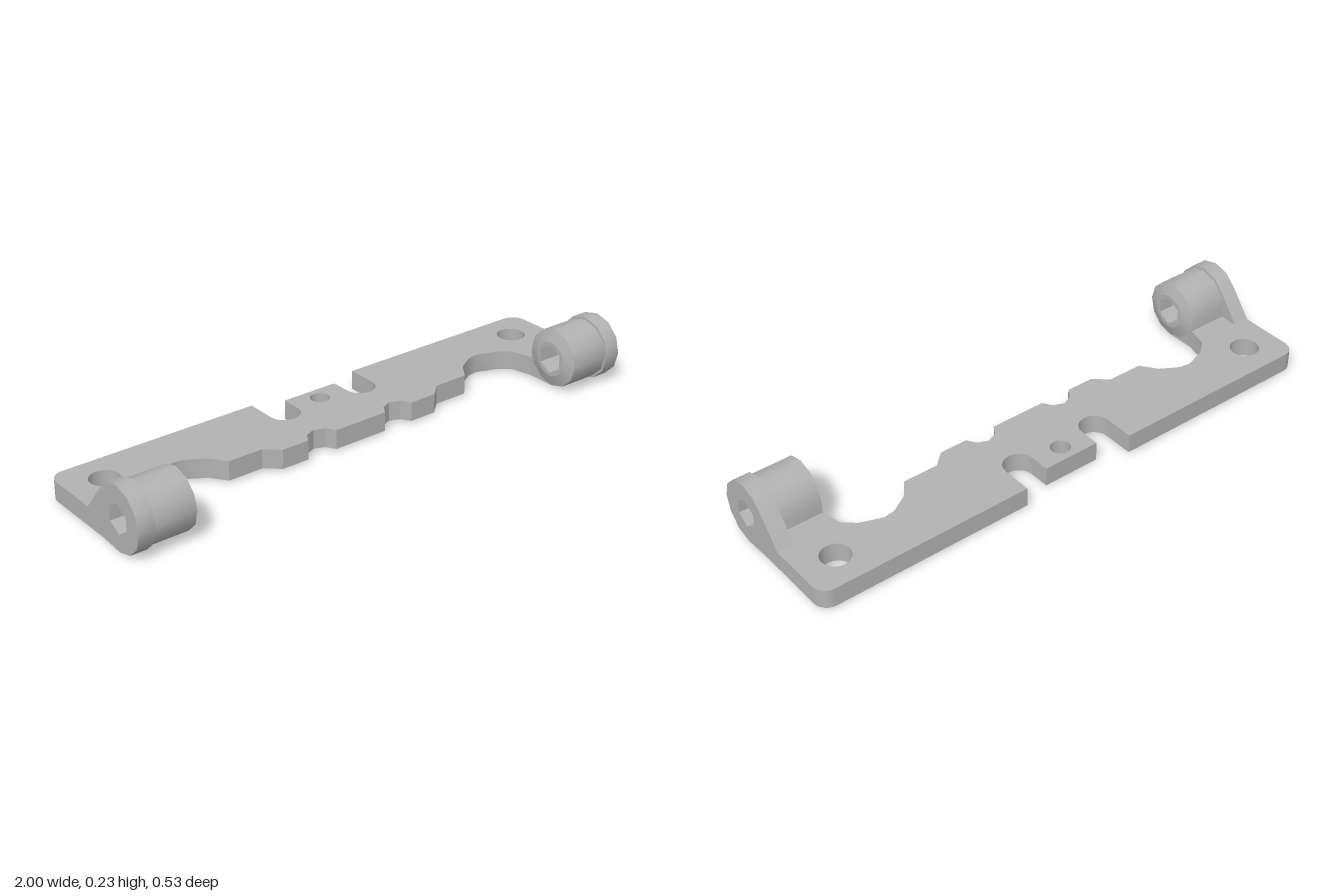
import * as THREE from 'three';
import { toCreasedNormals } from 'three/addons/utils/BufferGeometryUtils.js';

const AXIS_Y = 0.115, AXIS_Z = 0.152, HEX_R = 0.053;
const CREASE = 0.6;

const gray = new THREE.MeshStandardMaterial({ color: 0xb2b2b2, side: THREE.DoubleSide });
gray.name = 'plain gray';

function part(name, geometry) {
  const mesh = new THREE.Mesh(toCreasedNormals(geometry, CREASE), gray);
  mesh.name = name;
  return mesh;
}

function circlePoints(cx, cy, r, n, from = 0, sweep = Math.PI * 2) {
  const full = Math.abs(sweep) >= Math.PI * 2 - 1e-6;
  const points = [];
  for (let i = 0; i < (full ? n : n + 1); i++) {
    const a = from + (sweep * i) / n;
    points.push(new THREE.Vector2(cx + r * Math.cos(a), cy + r * Math.sin(a)));
  }
  return points;
}

const hexPath = () => new THREE.Path(circlePoints(AXIS_Z, AXIS_Y, HEX_R, 6, Math.PI / 6));

// Extrude a (z, y) profile along x between two positions
function extrudeAlongX(points, x0, x1) {
  const shape = new THREE.Shape(points);
  shape.holes.push(hexPath());
  const geo = new THREE.ExtrudeGeometry(shape, { depth: x1 - x0, bevelEnabled: false });
  return geo.rotateY(-Math.PI / 2).translate(x1, 0, 0);
}

// Flat bracket plate: half outline in (x, z), mirrored to the other side
function plateGeometry() {
  const v = (x, z) => new THREE.Vector2(x, z);
  const half = [
    v(0.107, -0.228),
    // slot in the back edge
    ...circlePoints(0.162, -0.155, 0.055, 10, Math.PI, -Math.PI),
    v(0.217, -0.267),
    // rounded back corner
    ...circlePoints(0.95, -0.217, 0.05, 6, -Math.PI / 2, Math.PI / 2),
    // arm that runs into the barrel
    v(1, 0.1), v(0.79, 0.1), v(0.79, 0.045),
    // large front cut-out
    v(0.772, -0.03), v(0.73, -0.066), v(0.652, -0.095), v(0.61, -0.089),
    v(0.545, -0.05), v(0.52, -0.015), v(0.503, 0.008),
    // stepped front edge with a small notch
    v(0.373, 0.008), v(0.323, 0.053), v(0.22, 0.053),
    v(0.2, 0.02), v(0.162, 0.004), v(0.124, 0.02), v(0.104, 0.053),
  ];
  const mirrored = half.map((p) => v(-p.x, p.y)).reverse();
  const shape = new THREE.Shape([...half, ...mirrored]);
  for (const [x, z, r] of [[0, -0.17, 0.035], [0.868, -0.145, 0.052], [-0.868, -0.145, 0.052]]) {
    shape.holes.push(new THREE.Path(circlePoints(x, z, r, 20)));
  }
  const geo = new THREE.ExtrudeGeometry(shape, { depth: 0.07, bevelEnabled: false });
  return geo.rotateX(Math.PI / 2).translate(0, 0.078, 0);
}

// Barrel, outer lug and tapered inner end; side is +1 (left) or -1 (right)
function hinge(side) {
  const group = new THREE.Group();
  group.name = side > 0 ? 'leftHinge' : 'rightHinge';
  const span = (a, b) => (side > 0 ? [a, b] : [-b, -a]);

  const lugProfile = [
    ...circlePoints(AXIS_Z, AXIS_Y, 0.115, 7, -Math.PI / 2, (7 * Math.PI) / 6),
    new THREE.Vector2(0.052, 0.173),
    new THREE.Vector2(-0.025, 0.078),
    new THREE.Vector2(-0.025, 0.008),
    new THREE.Vector2(0.055, 0.008),
  ];
  group.add(part('lug', extrudeAlongX(lugProfile, ...span(0.94, 1))));

  const barrelProfile = [
    ...circlePoints(AXIS_Z, AXIS_Y, 0.107, 9, -Math.PI / 2, (9 * Math.PI) / 6),
    new THREE.Vector2(0.045, 0.008),
  ];
  group.add(part('barrel', extrudeAlongX(barrelProfile, ...span(0.79, 0.94))));

  const turn = (geo) => geo.rotateZ((side * Math.PI) / 2).translate(side * 0.7825, AXIS_Y, AXIS_Z);
  group.add(part('barrelTaper', turn(new THREE.CylinderGeometry(0.065, 0.107, 0.015, 12, 1, true))));
  group.add(part('hexSocketLip',
    turn(new THREE.CylinderGeometry(HEX_R, HEX_R, 0.015, 6, 1, true, Math.PI / 6))));

  const cap = new THREE.Shape(circlePoints(0, 0, 0.065, 12));
  cap.holes.push(new THREE.Path(circlePoints(0, 0, HEX_R, 6, Math.PI / 6)));
  const capGeo = new THREE.ShapeGeometry(cap).rotateY((-side * Math.PI) / 2);
  group.add(part('barrelEnd', capGeo.translate(side * 0.775, AXIS_Y, AXIS_Z)));
  return group;
}

export function createModel() {
  const model = new THREE.Group();
  model.name = 'hingeBracket';
  model.add(part('plate', plateGeometry()), hinge(1), hinge(-1));
  return model;
}
